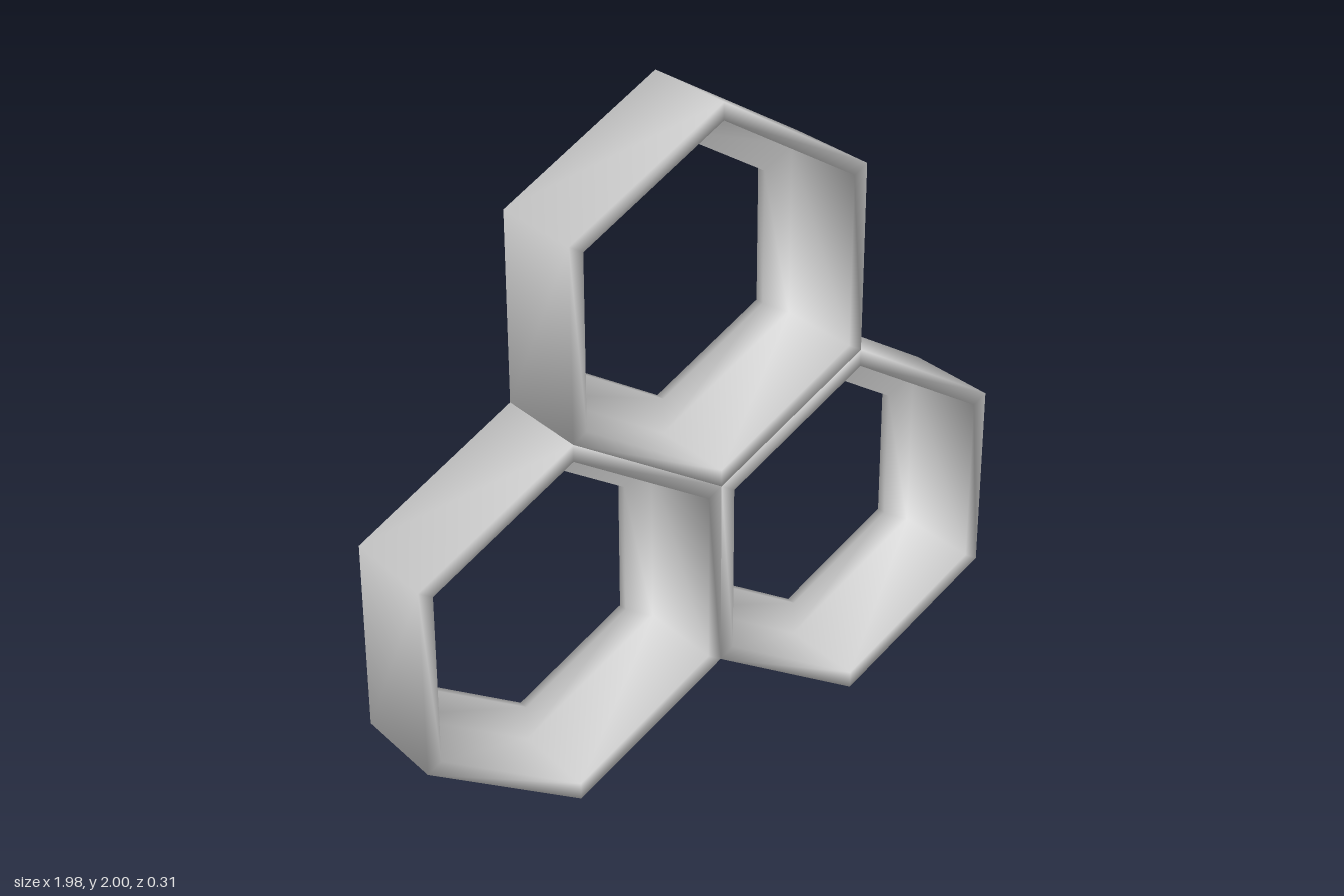
import * as THREE from 'three';

const R = 2 / 3.5;              // outer corner radius of a cell
const HALF = 0.155;             // half depth
const APOTHEM = R * Math.cos(Math.PI / 6);

// Cross-section of the frame as [corner radius, z]: wall with a thin inward lip at the back
const PROFILE = [
  [R, HALF], [0.52, HALF],
  [0.52, -HALF + 0.03], [0.41, -HALF + 0.03],
  [0.41, -HALF], [R, -HALF],
];

// Sweeps the cross-section round six corners with shared, smooth vertices
function hexFrameGeometry() {
  const n = PROFILE.length, positions = [], index = [];
  for (const [r, z] of PROFILE) {
    for (let i = 0; i < 6; i++) {
      const a = Math.PI / 2 + i * Math.PI / 3;
      positions.push(r * Math.cos(a), r * Math.sin(a), z);
    }
  }
  for (let k = 0; k < n; k++) {
    for (let i = 0; i < 6; i++) {
      const j = (i + 1) % 6, next = ((k + 1) % n) * 6;
      const a = k * 6 + i, b = k * 6 + j, c = next + i, d = next + j;
      // every diagonal runs from the front corner to the following back corner
      if (k === n - 1) index.push(a, b, c, b, d, c);
      else index.push(a, b, d, a, d, c);
    }
  }
  const geometry = new THREE.BufferGeometry();
  geometry.setAttribute('position', new THREE.Float32BufferAttribute(positions, 3));
  geometry.setIndex(index);
  geometry.computeVertexNormals();
  return geometry;
}

export function createModel() {
  const group = new THREE.Group();
  group.name = 'honeycombShelf';
  const grey = new THREE.MeshStandardMaterial({ color: 0xcccccc });
  grey.name = 'light grey';
  const geometry = hexFrameGeometry();

  // Three touching cells: two below, one nested on top
  const cells = [
    ['topCell', 0, 2.5 * R],
    ['lowerLeftCell', APOTHEM, R],
    ['lowerRightCell', -APOTHEM, R],
  ];
  for (const [name, x, y] of cells) {
    const cell = new THREE.Mesh(geometry, grey);
    cell.name = name;
    cell.position.set(x, y, 0);
    group.add(cell);
  }
  return group;
}
